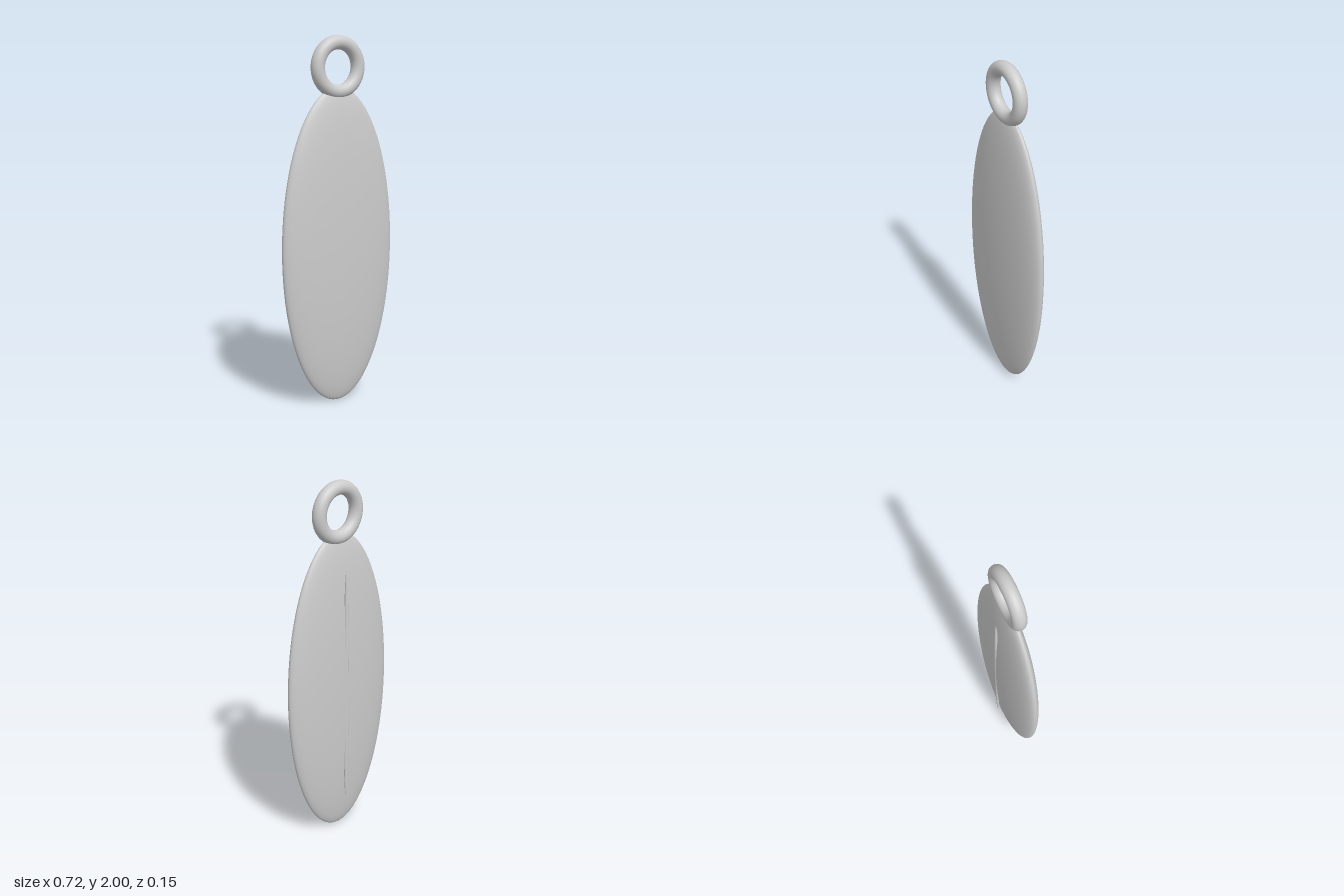
import * as THREE from 'three';

const material = new THREE.MeshStandardMaterial({ color: 0xcccccc });

// Sphere stretched to the given radii, with its poles on the y axis
function ellipsoid(name, radii, position, segments) {
  const geometry = new THREE.SphereGeometry(1, segments, segments).scale(...radii);
  const mesh = new THREE.Mesh(geometry, material);
  mesh.name = name;
  mesh.position.set(...position);
  return mesh;
}

export function createModel() {
  const group = new THREE.Group();
  group.name = 'pendant';

  // Flat oval body
  group.add(ellipsoid('body', [0.358, 0.865, 0.0745], [0, 0.865, 0], 96));

  // Slim ridge half sunk into the back
  group.add(ellipsoid('backRidge', [0.0145, 0.67, 0.0145], [0, 0.865, -0.0635], 48));

  // Hanging ring
  const ring = new THREE.Mesh(new THREE.TorusGeometry(0.129, 0.0375, 32, 96), material);
  ring.name = 'hangingRing';
  ring.position.y = 1.8335;
  group.add(ring);

  return group;
}
